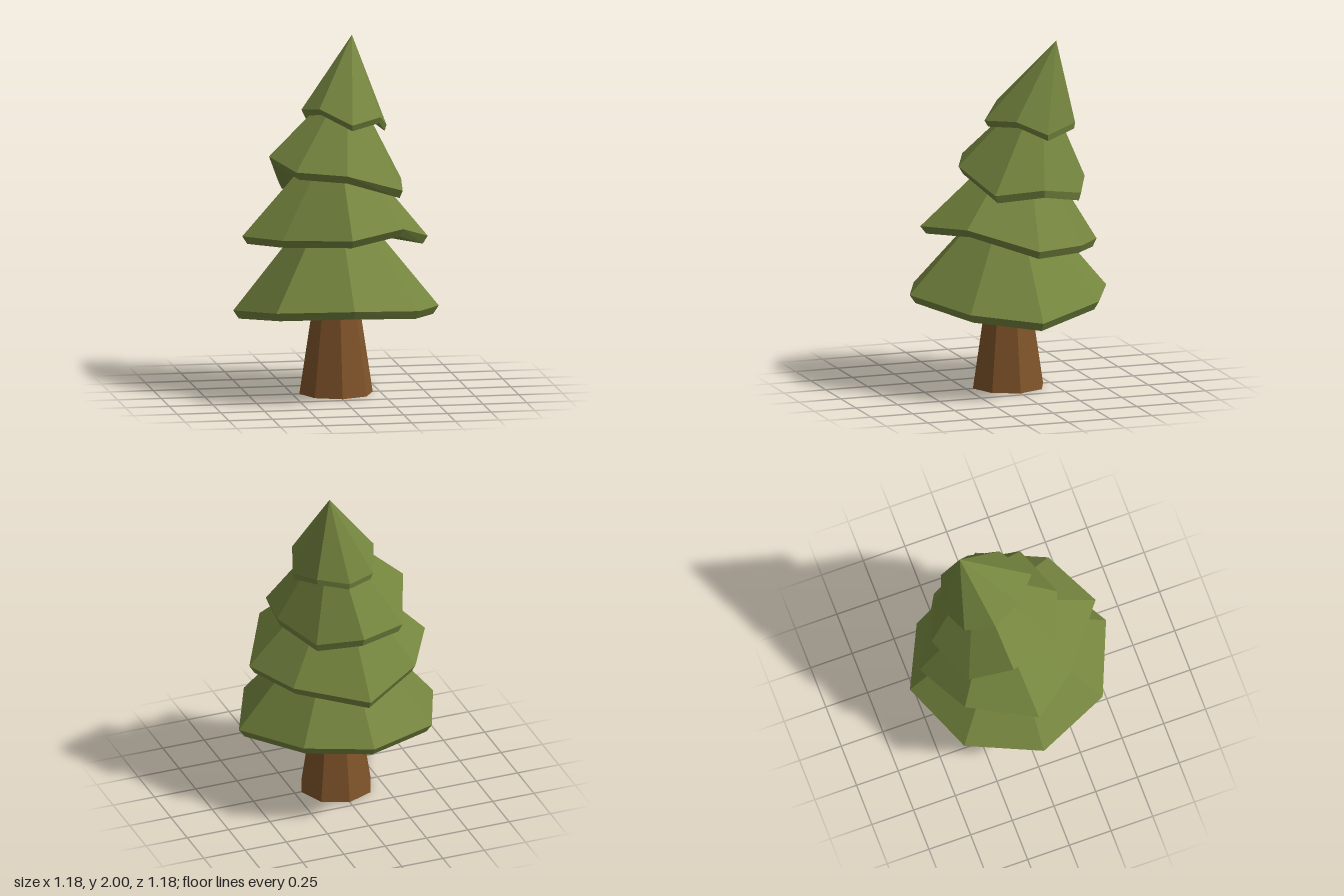
import * as THREE from 'three';

const GREEN = new THREE.MeshStandardMaterial({ color: 0x75863f, flatShading: true });
const BROWN = new THREE.MeshStandardMaterial({ color: 0x80532a, flatShading: true });

// Each tier: its tip, height of the hollow, rim height,
// and eight rim corners [x, y, z] running from +x towards +z
const TIERS = [
  { name: 'bottomTier', tip: [0, 1.21, -0.02], hollow: 0.82, drop: 0.048, rim: [
    [0.588, 0.48, 0], [0.41, 0.52, 0.372], [0, 0.567, 0.588], [-0.415, 0.54, 0.415],
    [-0.588, 0.49, 0], [-0.415, 0.52, -0.415], [0, 0.54, -0.588], [0.36, 0.53, -0.415]] },
  { name: 'lowerMiddleTier', tip: [0.02, 1.5, -0.1], hollow: 1.13, drop: 0.045, rim: [
    [0.525, 0.88, 0], [0.32, 0.99, 0.36], [0, 0.96, 0.525], [-0.35, 0.925, 0.25],
    [-0.535, 0.91, -0.01], [-0.33, 0.905, -0.38], [0, 0.81, -0.53], [0.38, 0.865, -0.305]] },
  { name: 'upperMiddleTier', tip: [0.1, 1.78, -0.17], hollow: 1.43, drop: 0.045, rim: [
    [0.387, 1.2, -0.08], [0.345, 1.18, 0.2], [0.01, 1.29, 0.3], [-0.26, 1.3, 0.18],
    [-0.365, 1.345, -0.1], [-0.27, 1.16, -0.335], [0.01, 1.18, -0.455], [0.255, 1.14, -0.345]] },
  { name: 'topTier', tip: [0.135, 2, -0.24], hollow: 1.72, drop: 0.036, rim: [
    [0.312, 1.5, -0.125], [0.25, 1.575, 0.04], [0.065, 1.555, 0.165], [-0.1, 1.63, 0.03],
    [-0.172, 1.6, -0.14], [-0.105, 1.507, -0.3], [0.065, 1.51, -0.375], [0.24, 1.545, -0.315]] },
];

// Crooked cone: outer slope, narrow bevelled rim, shallow hollow underneath
function makeTier({ name, tip, hollow, drop, rim }) {
  const innerTip = [tip[0], hollow, tip[2]];
  const under = rim.map(([x, y, z]) => [
    x + (tip[0] - x) * 0.055, y - drop, z + (tip[2] - z) * 0.055]);
  const points = [];
  rim.forEach((a, i) => {
    const j = (i + 1) % rim.length;
    points.push(
      a, tip, rim[j],
      a, rim[j], under[i],
      rim[j], under[j], under[i],
      under[i], under[j], innerTip);
  });
  const geometry = new THREE.BufferGeometry();
  geometry.setAttribute('position', new THREE.Float32BufferAttribute(points.flat(), 3));
  geometry.computeVertexNormals();
  const mesh = new THREE.Mesh(geometry, GREEN);
  mesh.name = name;
  return mesh;
}

// Eight-sided trunk: tapered foot, then straight up inside the branches
function makeTrunk() {
  const profile = [[0, 0], [0.21, 0], [0.132, 0.51], [0.13, 0.85], [0, 0.85]]
    .map(([r, y]) => new THREE.Vector2(r, y));
  const mesh = new THREE.Mesh(new THREE.LatheGeometry(profile, 8), BROWN);
  mesh.name = 'trunk';
  return mesh;
}

export function createModel() {
  const tree = new THREE.Group();
  tree.name = 'pineTree';
  tree.add(makeTrunk(), ...TIERS.map(makeTier));
  return tree;
}
